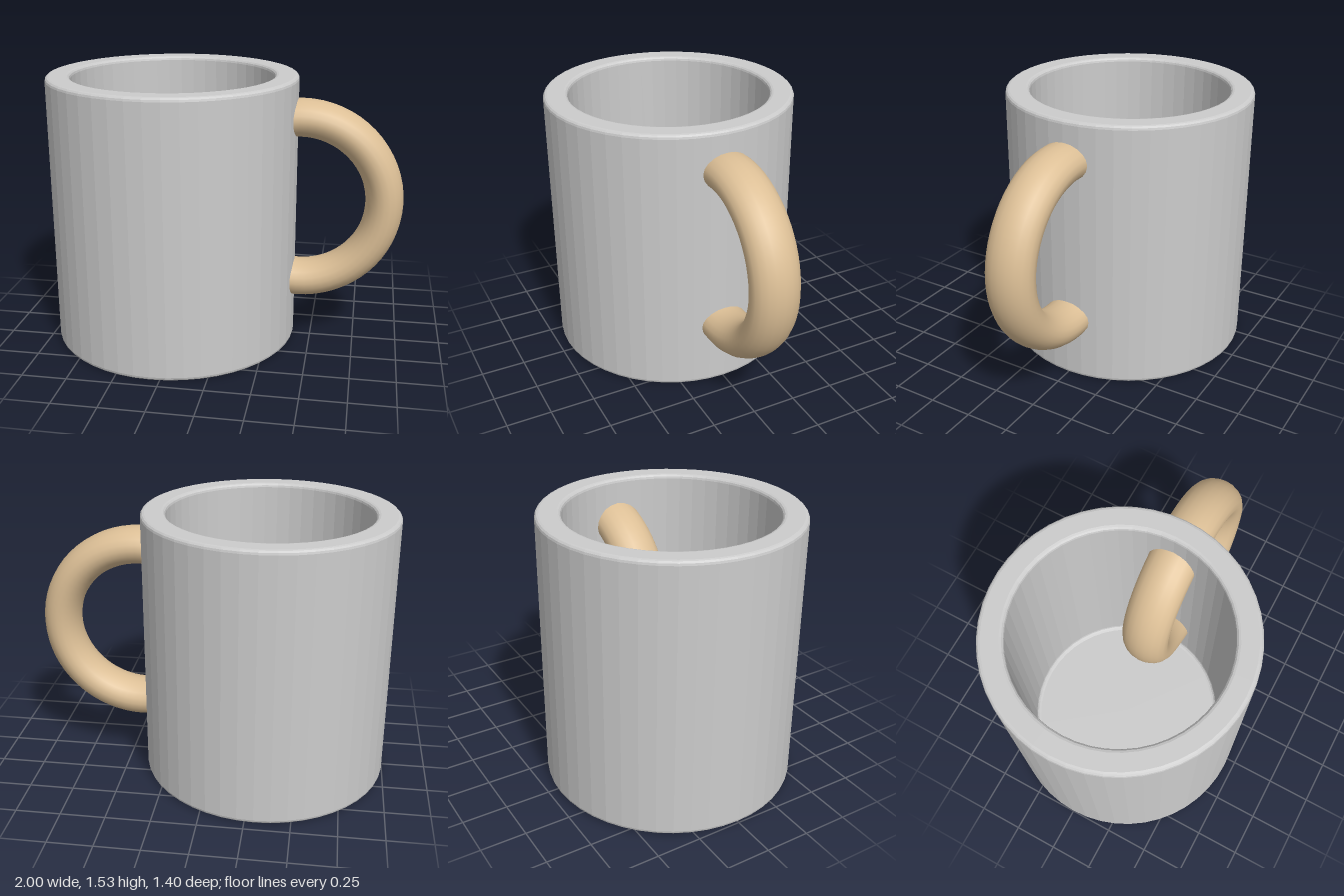
import * as THREE from 'three';

const HEIGHT = 1.535, OUTER = 0.7, INNER = 0.565, FLOOR = 0.13, BEVEL = 0.022;

// Quarter-round edge around (cx, cy), swept from angle a to b
function roundEdge(cx, cy, a, b, steps = 3) {
  const pts = [];
  for (let i = 0; i <= steps; i++) {
    const t = a + ((b - a) * i) / steps;
    pts.push(new THREE.Vector2(cx + BEVEL * Math.cos(t), cy + BEVEL * Math.sin(t)));
  }
  return pts;
}

export function createModel() {
  const model = new THREE.Group();
  model.name = 'mug';
  const q = Math.PI / 2;

  // Hollow cup: up the outside, over the rim, down to the inner floor
  const profile = [
    new THREE.Vector2(0, 0),
    ...roundEdge(OUTER - BEVEL, BEVEL, -q, 0),
    ...roundEdge(OUTER - BEVEL, HEIGHT - BEVEL, 0, q),
    ...roundEdge(INNER + BEVEL, HEIGHT - BEVEL, q, 2 * q),
    ...roundEdge(INNER - BEVEL, FLOOR + BEVEL, 0, -q),
    new THREE.Vector2(0, FLOOR),
  ];
  const cup = new THREE.Mesh(
    new THREE.LatheGeometry(profile, 48),
    new THREE.MeshStandardMaterial({ color: 0xcccccc, flatShading: true })
  );
  cup.name = 'cup';
  cup.position.x = -0.3;
  model.add(cup);

  // Full ring handle passing through the wall, wider than it is thick
  const handle = new THREE.Mesh(
    new THREE.TorusGeometry(0.47, 0.105, 20, 64),
    new THREE.MeshStandardMaterial({ color: 0xdcbf96 })
  );
  handle.name = 'handle';
  handle.scale.z = 1.3;
  handle.position.set(0.422, 0.84, 0);
  model.add(handle);

  return model;
}
